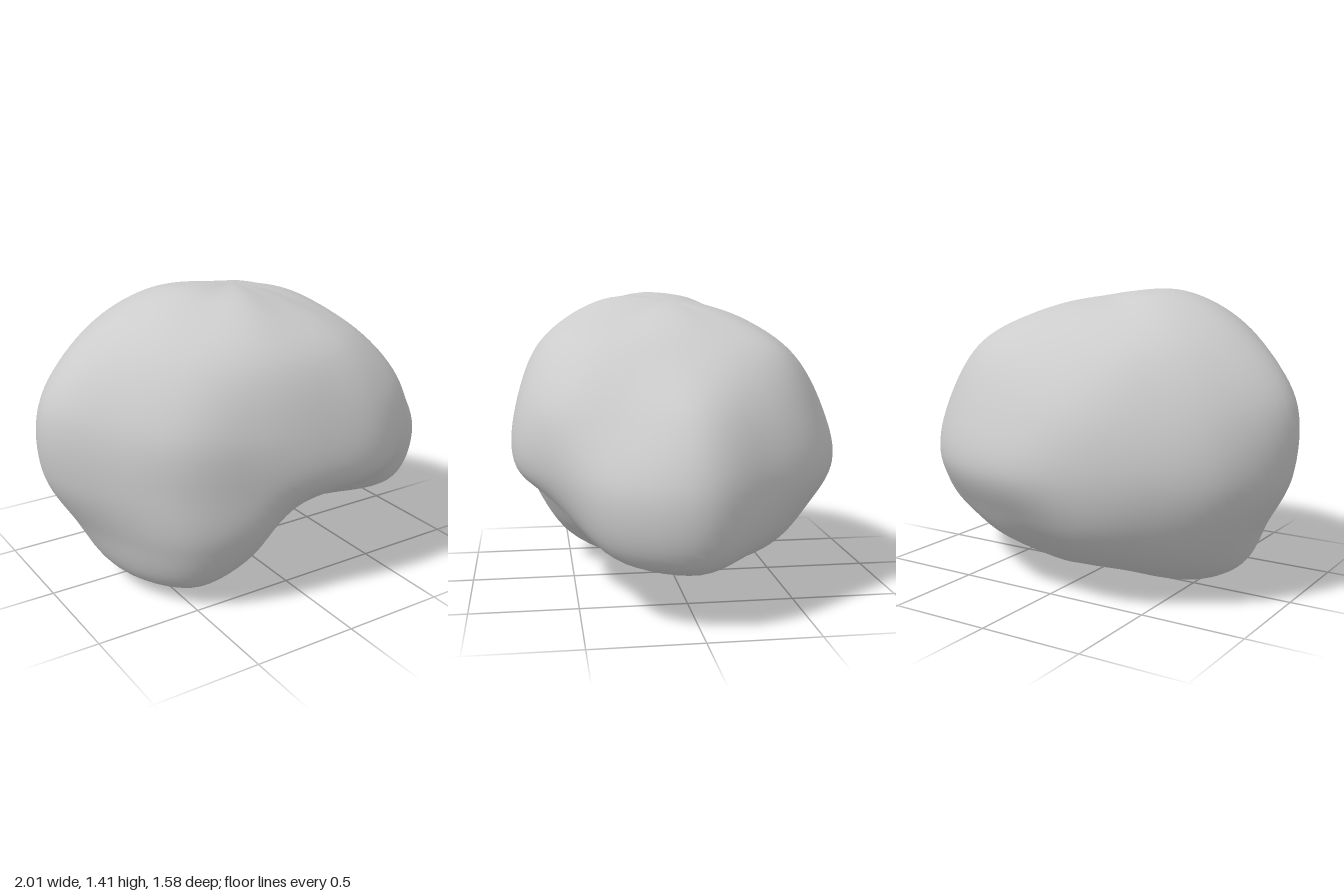
import * as THREE from 'three';
import { mergeVertices } from 'three/addons/utils/BufferGeometryUtils.js';

// Radii every 22.5 degrees, from +x towards +z, on rings of given elevation.
const CENTRE_Y = 0.72, TOP = 0.65, BOTTOM = 0.53;
const RINGS = [
  { el: 60, r: [0.665, 0.665, 0.665, 0.69, 0.715, 0.75, 0.76, 0.78, 0.775, 0.745, 0.695, 0.67, 0.66, 0.66, 0.665, 0.66] },
  { el: 35, r: [0.72, 0.725, 0.76, 0.785, 0.79, 0.81, 0.835, 0.865, 0.89, 0.83, 0.76, 0.71, 0.695, 0.715, 0.745, 0.73] },
  { el: 12, r: [0.88, 0.83, 0.85, 0.83, 0.785, 0.795, 0.865, 0.90, 1.005, 0.90, 0.80, 0.765, 0.74, 0.75, 0.775, 0.80] },
  { el: -8, r: [1.005, 0.965, 0.86, 0.83, 0.775, 0.785, 0.86, 0.90, 0.995, 0.935, 0.84, 0.80, 0.795, 0.80, 0.82, 0.865] },
  { el: -25, r: [1.02, 0.97, 0.79, 0.66, 0.66, 0.80, 0.90, 0.91, 0.94, 0.91, 0.84, 0.80, 0.755, 0.755, 0.78, 0.87] },
  { el: -42, r: [0.80, 0.74, 0.62, 0.55, 0.57, 0.77, 0.92, 0.95, 0.94, 0.87, 0.80, 0.76, 0.72, 0.73, 0.745, 0.77] },
  { el: -62, r: [0.60, 0.57, 0.52, 0.49, 0.53, 0.66, 0.78, 0.82, 0.81, 0.76, 0.71, 0.69, 0.69, 0.67, 0.65, 0.62] },
];
const AROUND = 96, DOWN = 72;

// Smooth closed loop through one ring's points, sampled evenly
function ringLoop({ el, r }) {
  const e = THREE.MathUtils.degToRad(el);
  const pts = r.map((d, i) => {
    const a = (i / r.length) * Math.PI * 2;
    return new THREE.Vector3(Math.cos(a) * Math.cos(e), Math.sin(e), Math.sin(a) * Math.cos(e)).multiplyScalar(d);
  });
  const curve = new THREE.CatmullRomCurve3(pts, true);
  return Array.from({ length: AROUND }, (_, i) => curve.getPoint(i / AROUND));
}

function stoneGeometry() {
  const loops = RINGS.map(ringLoop);
  const top = new THREE.Vector3(0, TOP, 0), bottom = new THREE.Vector3(0, -BOTTOM, 0);
  const positions = [], index = [];
  // Meridians run over both poles, so the surface stays smooth there
  for (let i = 0; i < AROUND; i++) {
    const far = (i + AROUND / 2) % AROUND;
    const meridian = new THREE.CatmullRomCurve3(
      [top, ...loops.map((l) => l[i]), bottom, ...loops.map((l) => l[far]).reverse()], true);
    for (let j = 0; j <= DOWN; j++) {
      const p = j === 0 ? top : j === DOWN ? bottom : meridian.getPoint((j / DOWN) * 0.5);
      positions.push(p.x, p.y + CENTRE_Y, p.z);
    }
  }
  for (let i = 0; i < AROUND; i++) {
    for (let j = 0; j < DOWN; j++) {
      const a = i * (DOWN + 1) + j, b = ((i + 1) % AROUND) * (DOWN + 1) + j;
      if (j > 0) index.push(a, b, a + 1);
      if (j < DOWN - 1) index.push(b, b + 1, a + 1);
    }
  }
  const shell = new THREE.BufferGeometry();
  shell.setAttribute('position', new THREE.Float32BufferAttribute(positions, 3));
  shell.setIndex(index);
  const geo = mergeVertices(shell, 1e-5);

  // Rest on the ground, centred
  geo.computeBoundingBox();
  const mid = geo.boundingBox.getCenter(new THREE.Vector3());
  geo.translate(-mid.x, -geo.boundingBox.min.y, -mid.z);
  geo.computeVertexNormals();
  return geo;
}

export function createModel() {
  const group = new THREE.Group();
  group.name = 'boulder';
  const stone = new THREE.Mesh(stoneGeometry(), new THREE.MeshStandardMaterial({ color: 0xcccccc }));
  stone.name = 'stone';
  group.add(stone);
  return group;
}
